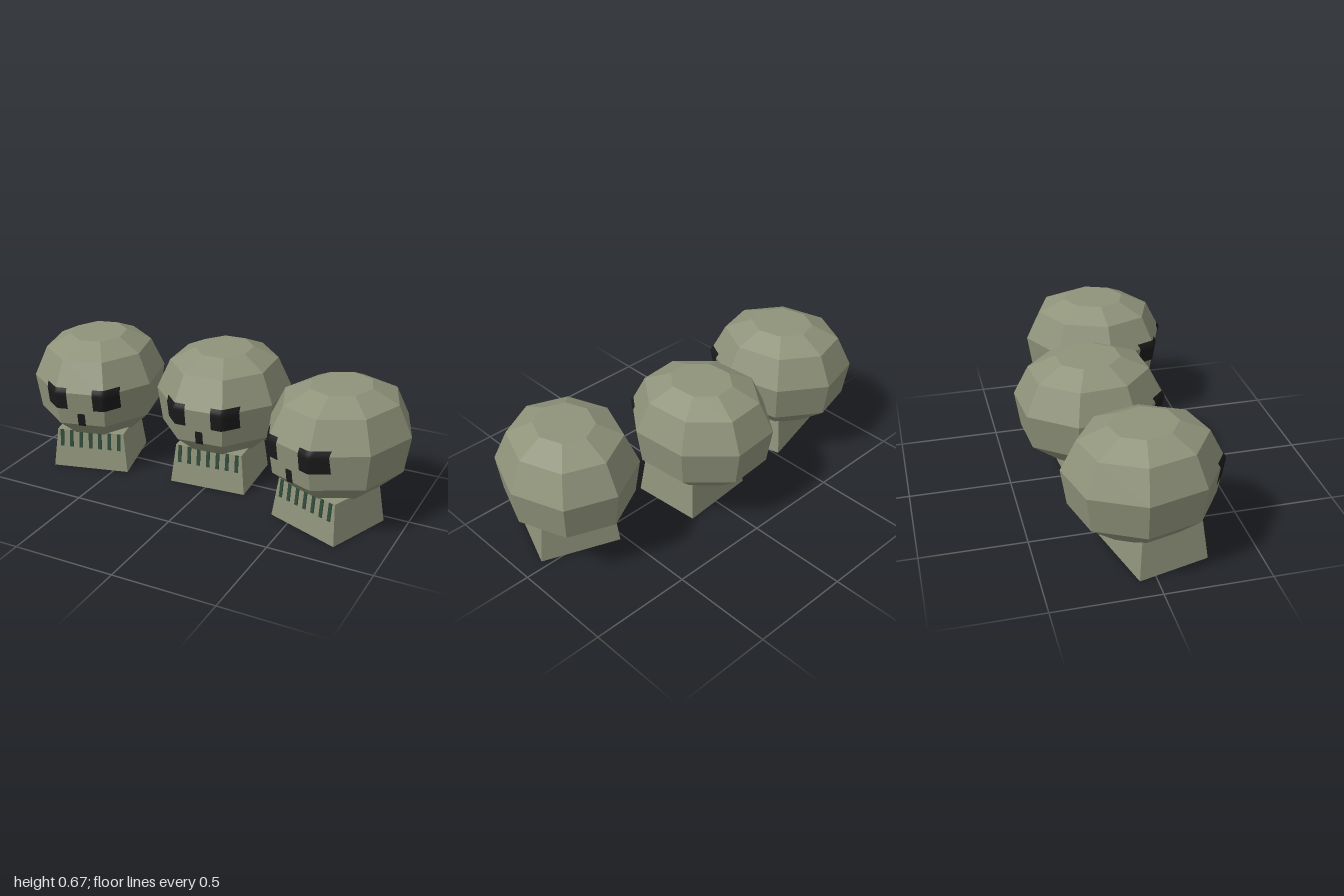
import * as THREE from 'three';

const RX = 0.325, RZ = 0.368;
// skull profile: [ring scale, height]
const RINGS = [[0.51, 0.157], [0.925, 0.285], [1, 0.46], [0.8, 0.605], [0.43, 0.665]];
const JAW = { w: 0.39, front: 0.23, back: -0.12, h: 0.198, taper: 0.022 };

const bone = new THREE.MeshStandardMaterial({ color: 0x8f937a });
bone.name = 'bone';
const socketBlack = new THREE.MeshStandardMaterial({ color: 0x1b1b1b });
socketBlack.name = 'socketBlack';
const toothGreen = new THREE.MeshStandardMaterial({ color: 0x2f4a3a });
toothGreen.name = 'toothGreen';

function mesh(geometry, material, name) {
  const m = new THREE.Mesh(geometry, material);
  m.name = name;
  return m;
}

// eight-sided cranium with a flat side facing forward
function craniumGeometry() {
  const pts = [[0, RINGS[0][1]], ...RINGS, [0, RINGS[4][1]]].map(([r, y]) => new THREE.Vector2(r, y));
  const g = new THREE.LatheGeometry(pts, 8, Math.PI / 8).scale(RX, 1, RZ).toNonIndexed();
  g.computeVertexNormals();
  return g;
}

// depth of the cranium's front surface at a given x and y
function surfaceZ(x, y) {
  let i = 0;
  while (i < RINGS.length - 2 && y > RINGS[i + 1][1]) i++;
  const [s0, y0] = RINGS[i], [s1, y1] = RINGS[i + 1];
  const s = s0 + (s1 - s0) * (y - y0) / (y1 - y0);
  const c = Math.cos(Math.PI / 8), n = Math.sin(Math.PI / 8);
  const over = Math.max(0, Math.abs(x) - RX * n * s);
  return RZ * c * s - over * (RZ * (c - n)) / (RX * (c - n));
}

// thin patch wrapped over the cranium
function patchGeometry(cx, cy, w, h) {
  const g = new THREE.PlaneGeometry(w, h, 10, 8).translate(cx, cy, 0);
  const p = g.attributes.position;
  for (let i = 0; i < p.count; i++) p.setZ(i, surfaceZ(p.getX(i), p.getY(i)) + 0.006);
  g.computeVertexNormals();
  return g;
}

// block that narrows towards the top
function jawGeometry() {
  const d = JAW.front - JAW.back, mid = (JAW.front + JAW.back) / 2;
  const g = new THREE.BoxGeometry(JAW.w, JAW.h, d).translate(0, JAW.h / 2, 0);
  const p = g.attributes.position;
  for (let i = 0; i < p.count; i++) {
    if (p.getY(i) > 0.01) {
      p.setX(i, p.getX(i) - Math.sign(p.getX(i)) * JAW.taper);
      p.setZ(i, p.getZ(i) - Math.sign(p.getZ(i)) * JAW.taper);
    }
  }
  g.translate(0, 0, mid);
  g.computeVertexNormals();
  return g;
}

function createSkull(name) {
  const skull = new THREE.Group();
  skull.name = name;
  skull.add(mesh(craniumGeometry(), bone, 'cranium'), mesh(jawGeometry(), bone, 'jaw'));

  // eye sockets and nose
  for (const side of [-1, 1]) {
    skull.add(mesh(patchGeometry(side * 0.125, 0.429, 0.12, 0.112), socketBlack, side > 0 ? 'leftEye' : 'rightEye'));
  }
  skull.add(mesh(patchGeometry(0, 0.315, 0.038, 0.07), socketBlack, 'nose'));

  // gaps between the teeth, lying on the sloping jaw front
  const y = 0.153;
  for (let i = -3; i <= 3; i++) {
    const tooth = mesh(new THREE.BoxGeometry(0.018, 0.088, 0.006), toothGreen, 'toothGap');
    tooth.position.set(i * 0.05, y, JAW.front - JAW.taper * y / JAW.h + 0.001);
    tooth.rotation.x = -Math.atan(JAW.taper / JAW.h);
    skull.add(tooth);
  }
  return skull;
}

export function createModel() {
  const model = new THREE.Group();
  model.name = 'skulls';
  // name, x, z, turn in degrees
  const layout = [
    ['rightSkull', -0.675, -0.01, 14.5],
    ['middleSkull', -0.01, -0.10, 4.6],
    ['leftSkull', 0.665, 0.08, -21],
  ];
  for (const [name, x, z, turn] of layout) {
    const skull = createSkull(name);
    skull.position.set(x, 0, z);
    skull.rotation.y = THREE.MathUtils.degToRad(turn);
    model.add(skull);
  }
  return model;
}
